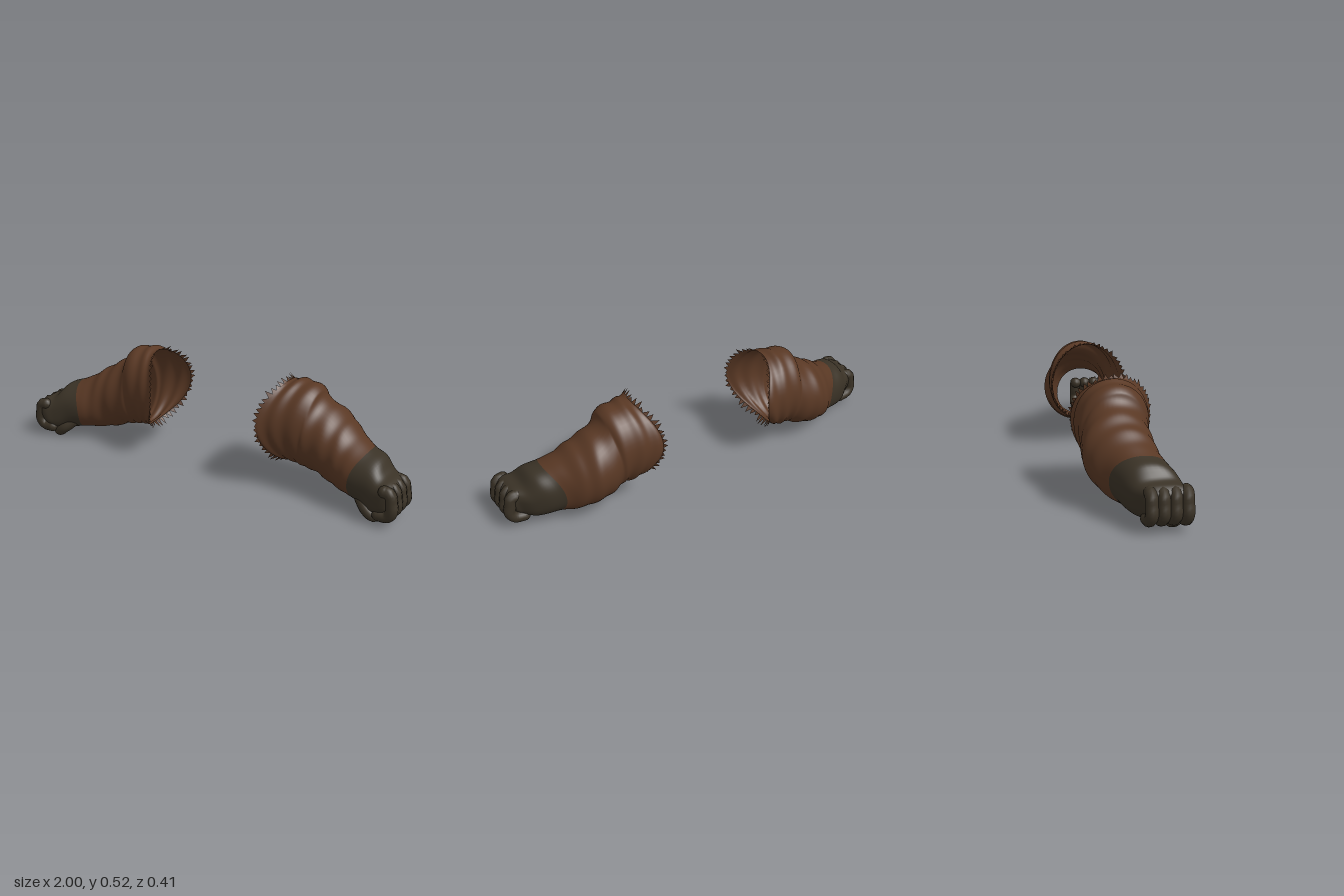
import * as THREE from 'three';

// Arm cross-sections, shoulder to fist:
// top x, top y, bottom x, bottom y, back z, front z, roundness, sideways bow
const SECTIONS = [
  [0.365, 0.505, 0.385, 0.130, -0.195, 0.165, 1, 0.085],
  [0.400, 0.512, 0.405, 0.122, -0.197, 0.148, 1, 0.060],
  [0.450, 0.510, 0.430, 0.113, -0.195, 0.134, 1, 0.035],
  [0.512, 0.492, 0.460, 0.108, -0.185, 0.124, 1, 0.015],
  [0.530, 0.448, 0.490, 0.098, -0.183, 0.116, 1, 0.005],
  [0.600, 0.405, 0.550, 0.080, -0.198, 0.118, 1, 0],
  [0.665, 0.365, 0.625, 0.056, -0.180, 0.126, 1, 0.005],
  [0.730, 0.318, 0.700, 0.044, -0.148, 0.142, 1, 0.020],
  [0.800, 0.284, 0.770, 0.043, -0.108, 0.158, 0.95, 0.040],
  [0.860, 0.262, 0.820, 0.036, -0.080, 0.170, 0.85, 0.020],
  [0.900, 0.215, 0.860, 0.035, -0.045, 0.185, 0.70, 0],
  [0.945, 0.198, 0.905, 0.050, -0.008, 0.196, 0.60, 0],
  [0.972, 0.170, 0.940, 0.075, 0.015, 0.185, 0.60, 0],
  [0.972, 0.130, 0.960, 0.110, 0.080, 0.120, 1, 0],
];
const WRIST = 8;
const AROUND = 48;

function seeded(seed) {
  return () => (seed = (seed * 16807) % 2147483647) / 2147483647;
}

// Smooth interpolation between cross-sections
function sectionAt(u) {
  const last = SECTIONS.length - 1;
  const i = Math.min(Math.floor(u), last - 1);
  const t = u - i;
  const row = (k) => SECTIONS[THREE.MathUtils.clamp(k, 0, last)];
  const [a, b, c, d] = [row(i - 1), row(i), row(i + 1), row(i + 2)];
  return b.map((v, k) => v + 0.5 * t * (c[k] - a[k]
    + t * (2 * a[k] - 5 * v + 4 * c[k] - d[k] + t * (3 * (v - c[k]) + d[k] - a[k]))));
}

// Point on the arm at position u and angle a (0 = top, quarter turn = front)
function armPoint(u, a, side) {
  const [xt, yt, xb, yb, zb, zf, round, bow] = sectionAt(u);
  const power = (v) => Math.sign(v) * Math.pow(Math.abs(v), round);
  const fade = THREE.MathUtils.clamp((WRIST - u) / 2, 0, 1);
  const fold = 1 + fade * (0.018 * Math.sin(u * 5 + 2 * Math.sin(a + 1)) + 0.01 * Math.sin(3 * a + u * 2));
  const c = power(Math.cos(a)) * 0.5 * fold;
  const s = power(Math.sin(a)) * 0.5 * fold;
  const x = (xt + xb) / 2 + c * (xt - xb) - bow * Math.sin(a) ** 2;
  return new THREE.Vector3(side * x, (yt + yb) / 2 + c * (yt - yb), (zb + zf) / 2 + s * (zf - zb));
}

// Skin of the arm between two positions
function armSkin(from, to, rings, side) {
  const points = [];
  const index = [];
  for (let i = 0; i <= rings; i++) {
    const u = from + (to - from) * i / rings;
    for (let j = 0; j < AROUND; j++) {
      points.push(armPoint(u, j / AROUND * Math.PI * 2, side));
      if (i === rings) continue;
      const a = i * AROUND + j;
      const b = i * AROUND + (j + 1) % AROUND;
      const c = a + AROUND;
      const d = b + AROUND;
      if (side > 0) index.push(a, b, c, b, d, c);
      else index.push(a, c, b, b, c, d);
    }
  }
  const geometry = new THREE.BufferGeometry().setFromPoints(points);
  geometry.setIndex(index);
  geometry.computeVertexNormals();
  return geometry;
}

// Torn fur teeth around the open shoulder end
function tornEdge(side) {
  const random = seeded(71);
  const points = [];
  for (let j = 0; j < AROUND; j++) {
    const a = armPoint(0, j / AROUND * Math.PI * 2, side);
    const b = armPoint(0, (j + 1) / AROUND * Math.PI * 2, side);
    const angle = (j + 0.2 + 0.6 * random()) / AROUND * Math.PI * 2;
    const length = 0.012 + 0.024 * random();
    const tip = armPoint(0, angle, side);
    tip.x -= side * length * (0.4 + 0.6 * Math.abs(Math.cos(angle)));
    tip.y += Math.cos(angle) * length * 0.8;
    tip.z += Math.sin(angle) * length * 0.4;
    points.push(...(side > 0 ? [a, tip, b] : [a, b, tip]));
  }
  // outward-facing order
  for (let k = 0; k < points.length; k += 3) {
    [points[k + 1], points[k + 2]] = [points[k + 2], points[k + 1]];
  }
  const geometry = new THREE.BufferGeometry().setFromPoints(points);
  geometry.computeVertexNormals();
  return geometry;
}

// Rounded finger along a bent path
function finger(name, path, radius, material) {
  const group = new THREE.Group();
  group.name = name;
  const curve = new THREE.CatmullRomCurve3(path);
  group.add(new THREE.Mesh(new THREE.TubeGeometry(curve, 16, radius, 12), material));
  for (const end of [path[0], path[path.length - 1]]) {
    const cap = new THREE.Mesh(new THREE.SphereGeometry(radius, 12, 8), material);
    cap.position.copy(end);
    group.add(cap);
  }
  group.children.forEach((mesh) => { mesh.name = name; });
  return group;
}

export function createModel() {
  const fur = new THREE.MeshStandardMaterial({ color: 0x593824, side: THREE.DoubleSide });
  fur.name = 'brown fur';
  const skin = new THREE.MeshStandardMaterial({ color: 0x3a3226 });
  skin.name = 'dark skin';

  const model = new THREE.Group();
  model.name = 'pairOfArms';
  for (const side of [1, -1]) {
    const arm = new THREE.Group();
    arm.name = side > 0 ? 'leftArm' : 'rightArm';
    const add = (name, geometry, material) => {
      const mesh = new THREE.Mesh(geometry, material);
      mesh.name = name;
      arm.add(mesh);
    };
    add('forearm', armSkin(0, WRIST, 64, side), fur);
    add('tornEdge', tornEdge(side), fur);
    add('hand', armSkin(WRIST, SECTIONS.length - 1, 30, side), skin);

    // Four fingers curled into a fist
    const at = (x, y, z) => new THREE.Vector3(side * x, y, z);
    for (let k = 0; k < 4; k++) {
      const z = 0.024 + k * 0.05;
      const drop = k === 3 ? 0.004 : 0;
      arm.add(finger('finger', [
        at(0.930, 0.172, z), at(0.957, 0.165, z), at(0.966, 0.125, z),
        at(0.971, 0.088, z), at(0.950, 0.060 - drop, z - 0.004), at(0.905, 0.052, z - 0.006),
      ], 0.028, skin));
    }
    // Thumb folded under the fist
    arm.add(finger('thumb', [
      at(0.800, 0.085, 0.125), at(0.840, 0.052, 0.150), at(0.876, 0.027, 0.145), at(0.900, 0.034, 0.120),
    ], 0.027, skin));
    model.add(arm);
  }
  return model;
}
